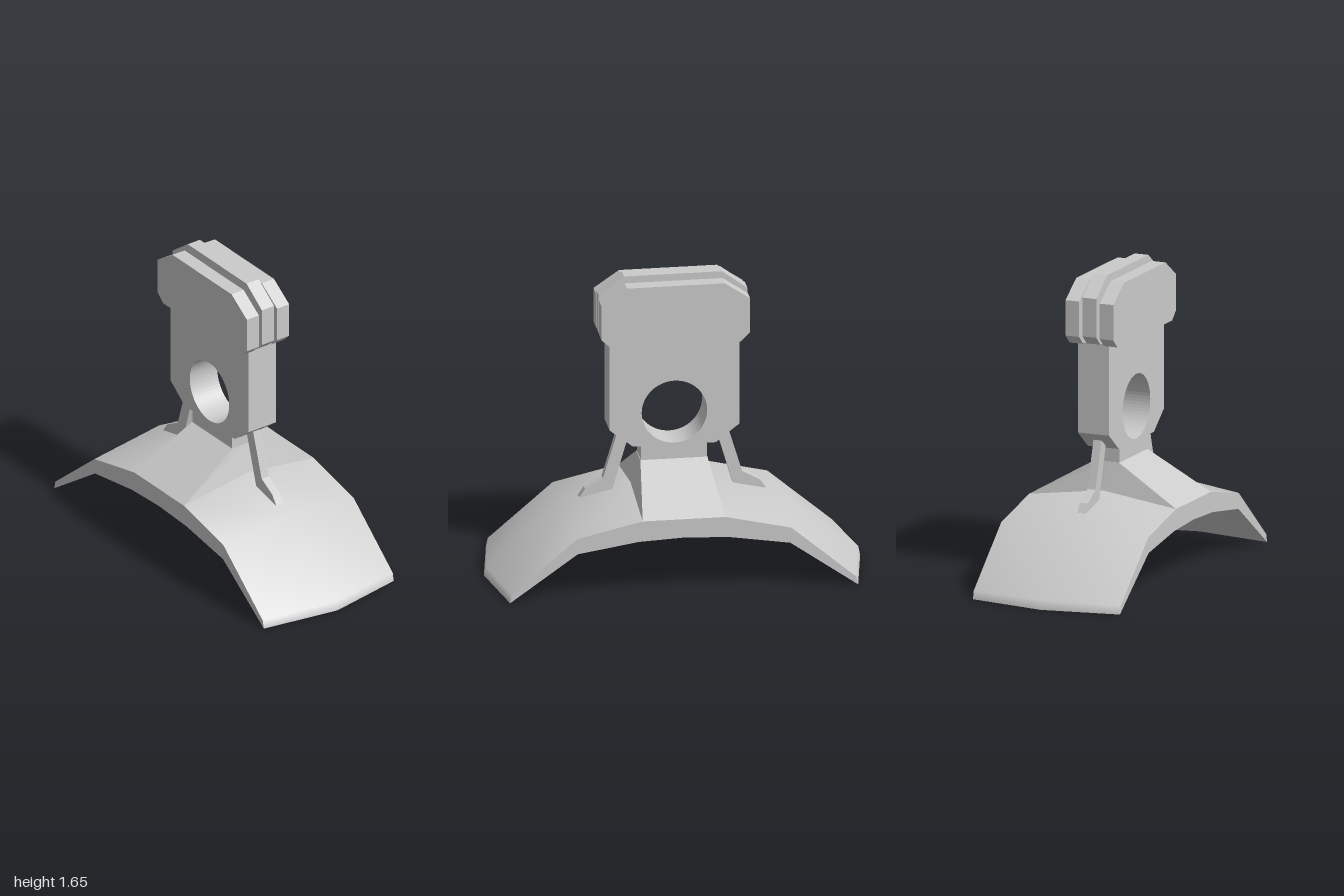
import * as THREE from 'three';

const material = new THREE.MeshStandardMaterial({ color: 0xcccccc });
const DEPTH = 0.425; // half depth of the saddle
const MID = 0.005; // z of the upright parts

// Surface through rows of points; it faces (row direction) x (column direction)
function grid(rows, smooth = false) {
  const n = rows[0].length, index = [];
  for (let j = 0; j < rows.length - 1; j++) {
    for (let i = 0; i < n - 1; i++) {
      const a = j * n + i, b = a + n;
      index.push(a, b, a + 1, a + 1, b, b + 1);
    }
  }
  let geo = new THREE.BufferGeometry();
  geo.setAttribute('position', new THREE.Float32BufferAttribute(rows.flat(2), 3));
  geo.setIndex(index);
  if (!smooth) geo = geo.toNonIndexed();
  geo.computeVertexNormals();
  return geo;
}

function add(parent, name, geometry) {
  const mesh = new THREE.Mesh(geometry, material);
  mesh.name = name;
  parent.add(mesh);
  return mesh;
}

function group(parent, name) {
  const g = new THREE.Group();
  g.name = name;
  parent.add(g);
  return g;
}

// Full profile from its right half, running from -x to +x
const mirrored = half => [...half.map(([x, y]) => [-x, y]), ...half.slice().reverse()];
const withCentre = (half, y) => mirrored(half).toSpliced(half.length, 0, [0, y]);
const atZ = (profile, z) => profile.map(([x, y]) => [x, y, z]);
// Opposite side of a surface
const flipX = rows => rows.map(r => r.map(([x, y, z]) => [-x, y, z]).reverse());

// Plate cut from an outline in x, y and centred on z
function plate(outline, depth, z, hole) {
  const shape = new THREE.Shape(outline.map(p => new THREE.Vector2(...p)));
  if (hole) shape.holes.push(hole);
  const geo = new THREE.ExtrudeGeometry(shape, { depth, bevelEnabled: false, curveSegments: 32 });
  return geo.translate(0, 0, z - depth / 2);
}

export function createModel() {
  const model = new THREE.Group();
  model.name = 'saddleBracket';

  // Arched saddle shell, bowed outwards along its middle line
  const saddle = group(model, 'saddle');
  const edge = withCentre([[0.925, 0], [0.915, 0.045], [0.57, 0.34], [0.22, 0.42]], 0.42);
  const inner = withCentre([[0.925, 0], [0.925, 0], [0.565, 0.255], [0.24, 0.306]], 0.317);
  const innerMid = withCentre([[1, 0], [0.565, 0.315], [0.24, 0.366]], 0.377);
  const innerEdge = inner.slice(1, -1);
  const ridge = [[0.22, 0.48], [0.57, 0.4], [0.99, 0.05], [1, 0]];
  const wing = [atZ(edge.slice(5), -DEPTH), atZ(ridge, 0), atZ(edge.slice(5), DEPTH)];
  add(saddle, 'leftWingTop', grid(wing, true));
  add(saddle, 'rightWingTop', grid(flipX(wing), true));
  add(saddle, 'saddleUnderside',
    grid([atZ(innerEdge, DEPTH), atZ(innerMid, 0), atZ(innerEdge, -DEPTH)], true));
  add(saddle, 'saddleFrontEdge', grid([atZ(edge, DEPTH), atZ(inner, DEPTH)]));
  add(saddle, 'saddleBackEdge', grid([atZ(inner, -DEPTH), atZ(edge, -DEPTH)]));

  // Tapered pedestal and neck
  const pedestal = group(model, 'pedestal');
  const across = (x, y, z) => [[-x, y, z], [x, y, z]];
  const back = MID - 0.072, front = MID + 0.072;
  add(pedestal, 'pedestalSlopes', grid([
    across(0.22, 0.42, -DEPTH), across(0.178, 0.627, back),
    across(0.178, 0.627, front), across(0.22, 0.42, DEPTH),
  ]));
  const flank = [
    [[0.22, 0.42, -DEPTH], [0.22, 0.48, 0], [0.22, 0.42, DEPTH]],
    [[0.178, 0.627, back], [0.178, 0.627, MID], [0.178, 0.627, front]],
  ];
  add(pedestal, 'leftFlank', grid(flank));
  add(pedestal, 'rightFlank', grid(flipX(flank)));
  add(pedestal, 'neck', new THREE.BoxGeometry(0.35, 0.09, 0.144)).position.set(0, 0.672, MID);

  // Upright block with a round hole
  const hole = new THREE.Path().absarc(0, 0.897, 0.174, 0, Math.PI * 2, false);
  add(model, 'block', plate(mirrored([[0.22, 0.712], [0.345, 0.81], [0.345, 1.3]]), 0.18, MID, hole));

  // Head of three chamfered plates
  const head = group(model, 'head');
  const headOutline = (bottom, shoulder, top) =>
    mirrored([[0.345, bottom], [0.395, bottom + 0.048], [0.395, shoulder], [0.26, top]]);
  const outer = headOutline(1.291, 1.53, 1.622);
  add(head, 'middlePlate', plate(headOutline(1.296, 1.553, 1.653), 0.08, MID));
  add(head, 'frontPlate', plate(outer, 0.079, MID + 0.099));
  add(head, 'backPlate', plate(outer, 0.079, MID - 0.099));

  // Bent struts from the block down to the saddle
  const strut = [[0.5, 0.41], [0.465, 0.463], [0.37, 0.517], [0.295, 0.767], [0.24, 0.73], [0.325, 0.44]];
  add(model, 'leftStrut', plate(strut, 0.046, MID));
  add(model, 'rightStrut', plate(strut.map(([x, y]) => [-x, y]), 0.046, MID));

  return model;
}
